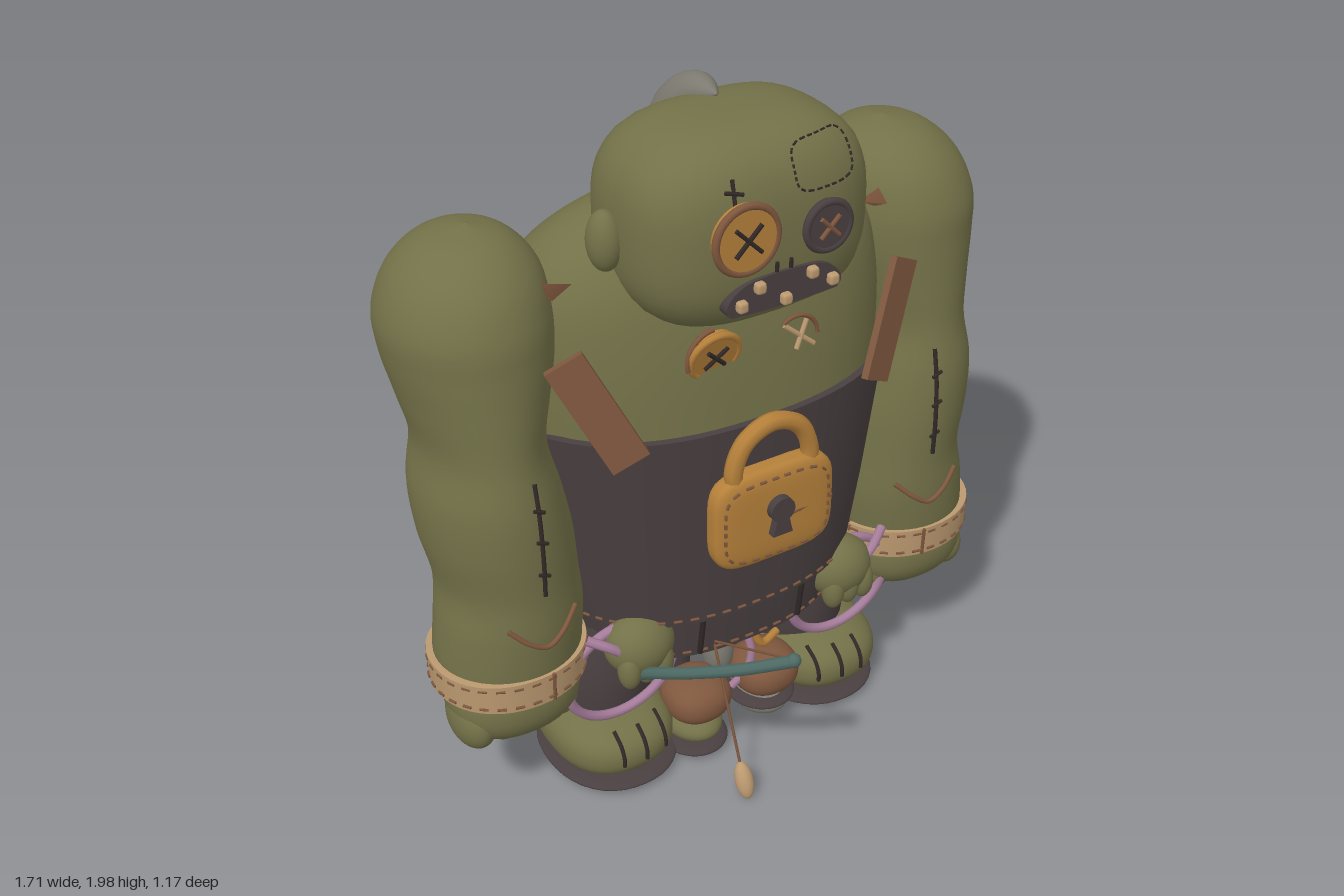
import * as THREE from 'three';
import { mergeGeometries, toCreasedNormals } from 'three/addons/utils/BufferGeometryUtils.js';

const V = (x, y, z) => new THREE.Vector3(x, y, z);
const mat = (name, color, side = THREE.FrontSide) => {
  const m = new THREE.MeshStandardMaterial({ color, side });
  m.name = name;
  return m;
};

// Point on a superellipse ring [y, cx, cz, rx, rz] at angle a
function ringPoint([y, cx, cz, rx, rz], a, e) {
  const c = Math.cos(a), s = Math.sin(a);
  const k = (Math.abs(c) ** e + Math.abs(s) ** e) ** (-1 / e);
  return V(cx + rx * c * k, y, cz + rz * s * k);
}

// Surface through rings listed upwards; smooth = spline between them
function loft(rings, { e = 2, smooth = true, n = 48, shapeY = null } = {}) {
  let rows = rings;
  if (smooth) {
    const spline = new THREE.CubicInterpolant(rings.map((_, i) => i), rings.flat(), 5);
    const m = (rings.length - 1) * 6;
    rows = Array.from({ length: m + 1 }, (_, i) => {
      const r = Array.from(spline.evaluate(i / 6));
      return [r[0], r[1], r[2], Math.max(r[3], 0.001), Math.max(r[4], 0.001)];
    });
  }
  const pos = [], idx = [];
  rows.forEach((r, i) => {
    for (let j = 0; j < n; j++) {
      const p = ringPoint(r, (j / n) * Math.PI * 2, e);
      if (shapeY) p.y = shapeY(p, i);
      pos.push(p.x, p.y, p.z);
      if (i < rows.length - 1) {
        const a = i * n + j, c = i * n + ((j + 1) % n);
        idx.push(a, a + n, c, c, a + n, c + n);
      }
    }
  });
  const g = new THREE.BufferGeometry();
  g.setAttribute('position', new THREE.Float32BufferAttribute(pos, 3));
  g.setIndex(idx);
  g.computeVertexNormals();
  return smooth ? g : toCreasedNormals(g, 0.6);
}

// Superellipsoid: e = 2 is an ellipsoid, higher is boxier
function blob(rx, ry, rz, e = 2) {
  const g = new THREE.SphereGeometry(1, 40, 28), p = g.attributes.position;
  for (let i = 0; i < p.count; i++) {
    const x = p.getX(i), y = p.getY(i), z = p.getZ(i);
    const k = (Math.abs(x) ** e + Math.abs(y) ** e + Math.abs(z) ** e) ** (-1 / e);
    p.setXYZ(i, x * k * rx, y * k * ry, z * k * rz);
  }
  g.computeVertexNormals();
  return g;
}

// Point on the front of a blob with centre c and radii r
const onBlob = (c, r, e, x, y, lift) => V(x, y, lift + c.z + r.z *
  Math.max(0, 1 - Math.abs((x - c.x) / r.x) ** e - Math.abs((y - c.y) / r.y) ** e) ** (1 / e));

// Thin rods between pairs of points, merged
function bars(pairs, r) {
  return mergeGeometries(pairs.map(([a, b]) => {
    const d = b.clone().sub(a);
    const g = new THREE.CylinderGeometry(r, r, d.length(), 6);
    g.applyQuaternion(new THREE.Quaternion().setFromUnitVectors(V(0, 1, 0), d.normalize()));
    return g.translate((a.x + b.x) / 2, (a.y + b.y) / 2, (a.z + b.z) / 2);
  }));
}

const ringStitches = (ring, e, n) => bars(Array.from({ length: n }, (_, i) =>
  [0, 0.5].map(o => ringPoint(ring, ((i + o) / n) * Math.PI * 2, e))), 0.004);
const tube = (pts, r, seg = 24) => new THREE.TubeGeometry(new THREE.CatmullRomCurve3(pts), seg, r, 8);

export function createModel() {
  const model = new THREE.Group();
  const green = mat('green skin', 0x737148), dark = mat('dark cloth', 0x493f40, THREE.DoubleSide);
  const gold = mat('gold', 0xb5803a), brown = mat('brown leather', 0x7f573e, THREE.DoubleSide);
  const tan = mat('tan', 0xbb9970), grey = mat('grey horn', 0x7c7a70), pink = mat('pink', 0xa67d9b);
  const teal = mat('teal', 0x4e6a65), thread = mat('dark thread', 0x302827);
  const add = (name, geo, m, x = 0, y = 0, z = 0, parent = model) => {
    const o = new THREE.Mesh(geo, m);
    o.name = name;
    o.position.set(x, y, z);
    parent.add(o);
    return o;
  };

  // Torso
  add('torso', loft([[0.32, 0, -0.14, 0.001, 0.001], [0.35, 0, -0.14, 0.25, 0.18], [0.42, 0, -0.13, 0.385, 0.28],
    [0.6, 0, -0.13, 0.43, 0.32], [0.98, 0, -0.155, 0.515, 0.37], [1.2, 0, -0.16, 0.54, 0.365],
    [1.4, 0, -0.145, 0.535, 0.325], [1.55, 0, -0.12, 0.49, 0.26], [1.66, 0, -0.1, 0.38, 0.17],
    [1.72, 0, -0.1, 0.2, 0.08], [1.73, 0, -0.1, 0.001, 0.001]], { e: 2.35, n: 64 }), green);

  // Overalls, higher in front than behind, and the belt under them
  add('overalls', loft([[0.57, 0, -0.14, 0.42, 0.32], [0.56, 0, -0.14, 0.455, 0.355], [0.77, 0, -0.147, 0.495, 0.375],
    [1.1, 0, -0.16, 0.56, 0.41], [1.1, 0, -0.16, 0.54, 0.39], [0.9, 0, -0.16, 0.51, 0.36]], {
    e: 2.35, smooth: false, n: 72,
    shapeY: (p, i) => (i === 3 || i === 4 ? 0.98 + 0.2 * THREE.MathUtils.smoothstep(p.z, -0.35, 0.05) : p.y),
  }), dark);
  add('belt', loft([[0.45, 0, -0.13, 0.38, 0.28], [0.42, 0, -0.13, 0.405, 0.31], [0.57, 0, -0.14, 0.44, 0.335]],
    { e: 2.35, smooth: false, n: 72 }), dark);
  add('hemStitches', ringStitches([0.58, 0, -0.14, 0.463, 0.361], 2.35, 64), brown);
  add('beltStitches', ringStitches([0.44, 0, -0.13, 0.414, 0.318], 2.35, 56), brown);
  add('beltLoops', bars([-0.16, 0.16].map(x => [V(x, 0.43, 0.17), V(x, 0.56, 0.19)]), 0.008), thread);

  // Padlock
  add('lockBody', blob(0.182, 0.143, 0.04, 4.5), gold, 0, 0.91, 0.262);
  add('lockShackle', tube([V(-0.11, 1.0, 0.265), V(-0.115, 1.07, 0.265), V(-0.08, 1.145, 0.265), V(0, 1.18, 0.265),
    V(0.08, 1.145, 0.265), V(0.115, 1.07, 0.265), V(0.11, 1.0, 0.265)], 0.025, 36), gold);
  const key = new THREE.Shape();
  key.absarc(0, 0.02, 0.036, -1.0, Math.PI + 1.0);
  key.lineTo(-0.03, -0.055);
  key.lineTo(0.03, -0.055);
  add('keyhole', new THREE.ExtrudeGeometry(key, { depth: 0.03, bevelEnabled: false }), dark, 0, 0.92, 0.295);
  const lockC = V(0, 0.91, 0.262), lockR = V(0.182, 0.143, 0.04);
  add('lockStitches', bars(Array.from({ length: 28 }, (_, i) => [0, 0.5].map(o => {
    const p = ringPoint([0, 0, 0.91, 0.158, 0.118], ((i + o) / 28) * Math.PI * 2, 4.5);
    return onBlob(lockC, lockR, 4.5, p.x, p.z, 0.001);
  })), 0.004), brown);
  add('lockSeam', bars([[V(0.04, 0.905, 0.302), V(0.175, 0.905, 0.288)]], 0.005), brown);

  // Head
  const headC = V(0, 1.7, 0.055), headR = V(0.33, 0.26, 0.245);
  const onHead = (x, y, lift = 0.003) => onBlob(headC, headR, 3, x, y, lift);
  add('head', blob(0.33, 0.26, 0.245, 3), green, 0, 1.7, 0.055);

  // Horn curving up behind the head
  const hornCurve = new THREE.CatmullRomCurve3([V(0, 1.6, -0.2), V(0, 1.75, -0.19), V(0, 1.87, -0.155), V(0, 1.94, -0.09), V(0, 1.965, 0)]);
  const horn = new THREE.TubeGeometry(hornCurve, 24, 1, 20), hp = horn.attributes.position;
  for (let i = 0; i <= 24; i++) {
    const c = hornCurve.getPointAt(i / 24), r = 0.096 * (1 - (i / 24) ** 3) ** 0.9 + 0.002;
    for (let j = 0; j <= 20; j++) {
      const k = i * 21 + j, p = V().fromBufferAttribute(hp, k).sub(c).multiplyScalar(r).add(c);
      hp.setXYZ(k, p.x, p.y, p.z);
    }
  }
  horn.computeVertexNormals();
  add('horn', horn, grey);

  // Button with a rim and a crossed thread
  const button = (name, x, y, z, r, m, rim, cross, tilt = 0) => {
    const g = new THREE.Group();
    g.name = name;
    g.position.set(x, y, z);
    g.rotation.x = tilt;
    model.add(g);
    add('buttonDisc', new THREE.CylinderGeometry(r, r, 0.03, 32).rotateX(Math.PI / 2), m, 0, 0, 0, g);
    add('buttonRim', new THREE.TorusGeometry(r, 0.01, 8, 36), rim, 0, 0, 0.008, g);
    const k = r * 0.42;
    add('buttonThread', bars([[V(-k, -k, 0.018), V(k, k, 0.018)], [V(-k, k, 0.018), V(k, -k, 0.018)]], 0.006), cross, 0, 0, 0, g);
  };
  button('rightEye', -0.115, 1.745, 0.308, 0.085, gold, brown, thread);
  button('leftEye', 0.115, 1.72, 0.306, 0.062, dark, dark, brown);
  button('rightChestButton', -0.125, 1.375, 0.182, 0.068, gold, gold, thread, 0.3);
  add('rightChestArc', new THREE.TorusGeometry(0.078, 0.007, 6, 20, 1.8).rotateZ(1.6), brown, -0.125, 1.37, 0.19);
  add('leftChestCross', bars([[V(0.085, 1.39, 0.18), V(0.17, 1.32, 0.193)], [V(0.155, 1.39, 0.18), V(0.115, 1.32, 0.195)]], 0.007), tan);
  add('leftChestArc', new THREE.TorusGeometry(0.065, 0.006, 6, 20, 2.2), brown, 0.12, 1.345, 0.185);

  // Mouth and teeth
  const mouth = new THREE.Shape();
  mouth.moveTo(-0.09, 0.042);
  mouth.quadraticCurveTo(0, 0.052, 0.09, 0.042);
  mouth.bezierCurveTo(0.15, 0.03, 0.185, -0.02, 0.15, -0.04);
  mouth.quadraticCurveTo(0, -0.052, -0.15, -0.04);
  mouth.bezierCurveTo(-0.185, -0.02, -0.15, 0.03, -0.09, 0.042);
  add('mouth', new THREE.ExtrudeGeometry(mouth, { depth: 0.045, bevelEnabled: false }), dark, 0, 1.582, 0.262);
  for (const [x, y] of [[-0.075, 1.607], [0.075, 1.607], [0.0, 1.557], [-0.125, 1.57], [0.135, 1.572]])
    add('tooth', blob(0.014, 0.015, 0.014, 4), tan, x, y, 0.312);

  // Face stitches and the sewn patch
  const face = [[onHead(-0.13, 1.82), onHead(-0.125, 1.88)], [onHead(-0.15, 1.855), onHead(-0.105, 1.845)],
    [onHead(-0.02, 1.62), onHead(-0.02, 1.655)], [onHead(0.02, 1.62), onHead(0.02, 1.655)]];
  add('faceStitches', bars(face, 0.005), thread);
  add('patchStitches', bars(Array.from({ length: 26 }, (_, i) => [0, 0.6].map(o => {
    const p = ringPoint([0, 0.13, 1.865, 0.09, 0.055], ((i + o) / 26) * Math.PI * 2, 4);
    return onHead(p.x, p.z, 0);
  })), 0.003), thread);

  for (const s of [-1, 1]) {
    const side = s > 0 ? 'left' : 'right';
    add(side + 'Ear', blob(0.045, 0.08, 0.05), green, s * 0.345, 1.69, 0.05);

    // Arm, cuff and hand
    add(side + 'Arm', loft([[0.46, s * 0.64, -0.03, 0.195, 0.18], [0.56, s * 0.635, -0.035, 0.2, 0.193], [0.67, s * 0.625, -0.035, 0.197, 0.197],
      [0.78, s * 0.62, -0.05, 0.186, 0.21], [0.92, s * 0.635, -0.068, 0.194, 0.232], [1.05, s * 0.648, -0.08, 0.184, 0.238],
      [1.18, s * 0.65, -0.09, 0.158, 0.225], [1.3, s * 0.645, -0.115, 0.182, 0.24],
      [1.42, s * 0.64, -0.135, 0.21, 0.25], [1.52, s * 0.64, -0.14, 0.213, 0.243], [1.62, s * 0.63, -0.145, 0.18, 0.2],
      [1.69, s * 0.62, -0.15, 0.108, 0.12], [1.72, s * 0.61, -0.15, 0.001, 0.001]]), green);
    add(side + 'Cuff', loft([[0.46, s * 0.64, -0.032, 0.15, 0.14], [0.46, s * 0.64, -0.032, 0.211, 0.196],
      [0.55, s * 0.64, -0.032, 0.214, 0.199], [0.55, s * 0.64, -0.032, 0.17, 0.16]], { e: 2.1, smooth: false }), tan);
    for (const y of [0.475, 0.535]) add('cuffStitches', ringStitches([y, s * 0.64, -0.032, 0.213, 0.198], 2.1, 28), brown);
    add('cuffSeam', bars([[V(s * 0.6, 0.46, 0.162), V(s * 0.6, 0.55, 0.166)]], 0.005), brown);
    add(side + 'Hand', blob(0.185, 0.13, 0.155, 2.3), green, s * 0.645, 0.42, -0.01);
    [0.525, 0.61, 0.7, 0.775].forEach((x, i) =>
      add('finger', blob(0.06, i === 3 ? 0.09 : 0.1, 0.1), green, s * x, 0.37, -0.01 + i * 0.005));

    // Stitching on the arm
    add('armSeam', tube([V(s * 0.61, 0.81, 0.165), V(s * 0.61, 0.92, 0.167), V(s * 0.61, 1.05, 0.158), V(s * 0.61, 1.14, 0.141)], 0.006), thread);
    add('armSeamTies', bars([[0.87, 0.168], [0.97, 0.168], [1.06, 0.16]].map(([y, z]) => [V(s * 0.595, y, z), V(s * 0.625, y + 0.012, z)]), 0.005), thread);
    add('forearmCrease', tube([V(s * 0.71, 0.72, 0.145), V(s * 0.66, 0.67, 0.162), V(s * 0.61, 0.645, 0.165), V(s * 0.565, 0.67, 0.158), V(s * 0.51, 0.72, 0.13)], 0.007), brown);
    add('shoulderTear', new THREE.ConeGeometry(0.03, 0.07, 3).rotateZ(s * 1.4), brown, s * 0.455, 1.575, 0.02);

    // Front strap lying on the chest and over the overalls
    const up = V(s * 0.14, 0.3, -0.08).normalize(), out = V(s * 0.35, 0.05, 1).addScaledVector(up, -V(s * 0.35, 0.05, 1).dot(up)).normalize();
    const strap = add(side + 'FrontStrap', new THREE.BoxGeometry(0.105, 0.33, 0.02), brown, s * 0.437, 1.29, 0.155);
    strap.quaternion.setFromRotationMatrix(new THREE.Matrix4().makeBasis(up.clone().cross(out), up, out));

    // Back strap, hugging the back and crossing the other one
    const ribbon = new THREE.PlaneGeometry(1, 1, 32, 1), rp = ribbon.attributes.position;
    for (let i = 0; i < rp.count; i++) {
      const t = rp.getX(i) + 0.5, x = 0.6 - 1.1 * t, w = rp.getY(i) * 0.096 * (1 - t ** 4);
      const z = -0.16 - (0.415 + s * 0.004) * (1 - Math.abs(x / 0.65) ** 2.2) ** (1 / 2.2);
      rp.setXYZ(i, s * x, 1.38 - 0.44 * t + w * 0.9, z + w * (0.8 - 1.1 * t));
    }
    ribbon.computeVertexNormals();
    add(side + 'BackStrap', ribbon, brown);

    // Leg, foot and sole
    add(side + 'Leg', loft([[0.1, s * 0.335, -0.12, 0.13, 0.15], [0.2, s * 0.33, -0.14, 0.155, 0.19], [0.33, s * 0.325, -0.15, 0.16, 0.21],
      [0.5, s * 0.3, -0.14, 0.15, 0.19]]), dark);
    const footC = V(s * 0.35, 0.13, -0.055), footR = V(0.178, 0.1, 0.22);
    add(side + 'Foot', blob(0.178, 0.1, 0.22, 2.4), green, footC.x, footC.y, footC.z);
    add(side + 'Sole', blob(0.187, 0.022, 0.226, 2.2), dark, s * 0.342, 0.034, -0.055);
    for (const x of [0.26, 0.33, 0.4])
      add('toeStitch', tube([0.12, 0.15, 0.18, 0.205].map(y => onBlob(footC, footR, 2.4, s * x, y, 0.002)), 0.006, 12), thread);

    // Small inner legs, shoes and hands
    add('smallLeg', new THREE.CylinderGeometry(0.05, 0.06, 0.3, 20), dark, s * 0.12, 0.27, -0.06);
    add('smallShoe', blob(0.098, 0.07, 0.1, 2.3), brown, s * 0.115, 0.19, 0.07);
    add('smallFoot', blob(0.085, 0.05, 0.11), s > 0 ? grey : green, s * 0.115, 0.085, 0.04);
    add('smallSole', blob(0.1, 0.02, 0.11), dark, s * 0.115, s > 0 ? 0.1 : 0.03, 0.05);
    add('smallHand', blob(0.1, 0.09, 0.085), green, s * 0.325, 0.51, 0.125);
    for (let i = 0; i < 3; i++) add('smallFinger', blob(0.032, 0.06, 0.035), green, s * (0.28 + i * 0.05), 0.465, 0.17);

    // Pink rope loop
    add('ropeLoop', new THREE.TorusGeometry(0.165, 0.014, 8, 48), pink, s * 0.36, 0.4, 0.085).rotation.x = 0.1;
    add('ropeEnd', tube([V(s * 0.48, 0.575, 0.12), V(s * 0.43, 0.55, 0.15), V(s * 0.39, 0.52, 0.16)], 0.014, 12), pink);
  }

  // Bits hanging between the legs
  add('innerTail', tube([V(0.0, 0.17, 0.08), V(0.045, 0.22, 0.09), V(0.06, 0.28, 0.09), V(0.05, 0.36, 0.07)], 0.012), pink);
  add('greyTuft', blob(0.045, 0.1, 0.05), grey, -0.01, 0.28, 0.02);
  add('goldScrap', tube([V(0.07, 0.34, 0.08), V(0.1, 0.29, 0.085), V(0.16, 0.3, 0.07)], 0.012), gold);

  // Fishing rod, line and float
  add('fishingRod', tube([V(-0.35, 0.4, 0.13), V(-0.345, 0.46, 0.2), V(-0.3, 0.535, 0.33), V(-0.22, 0.605, 0.46), V(-0.12, 0.665, 0.565)], 0.017, 32), teal);
  add('rodTip', new THREE.SphereGeometry(0.019, 16, 12), teal, -0.12, 0.665, 0.562);
  add('fishingLine', bars([[V(-0.115, 0.66, 0.555), V(-0.115, 0.45, 0.17)], [V(-0.115, 0.45, 0.17), V(-0.115, 0.09, 0.315)]], 0.004), brown);
  add('float', blob(0.026, 0.056, 0.026), tan, -0.115, 0.062, 0.33).rotation.x = -0.4;

  // Stitches on the back
  add('backStitches', bars([[V(0.33, 1.38, -0.435), V(0.35, 1.28, -0.458)], [V(0.3, 1.34, -0.455), V(0.37, 1.33, -0.438)]], 0.008), thread);
  return model;
}
